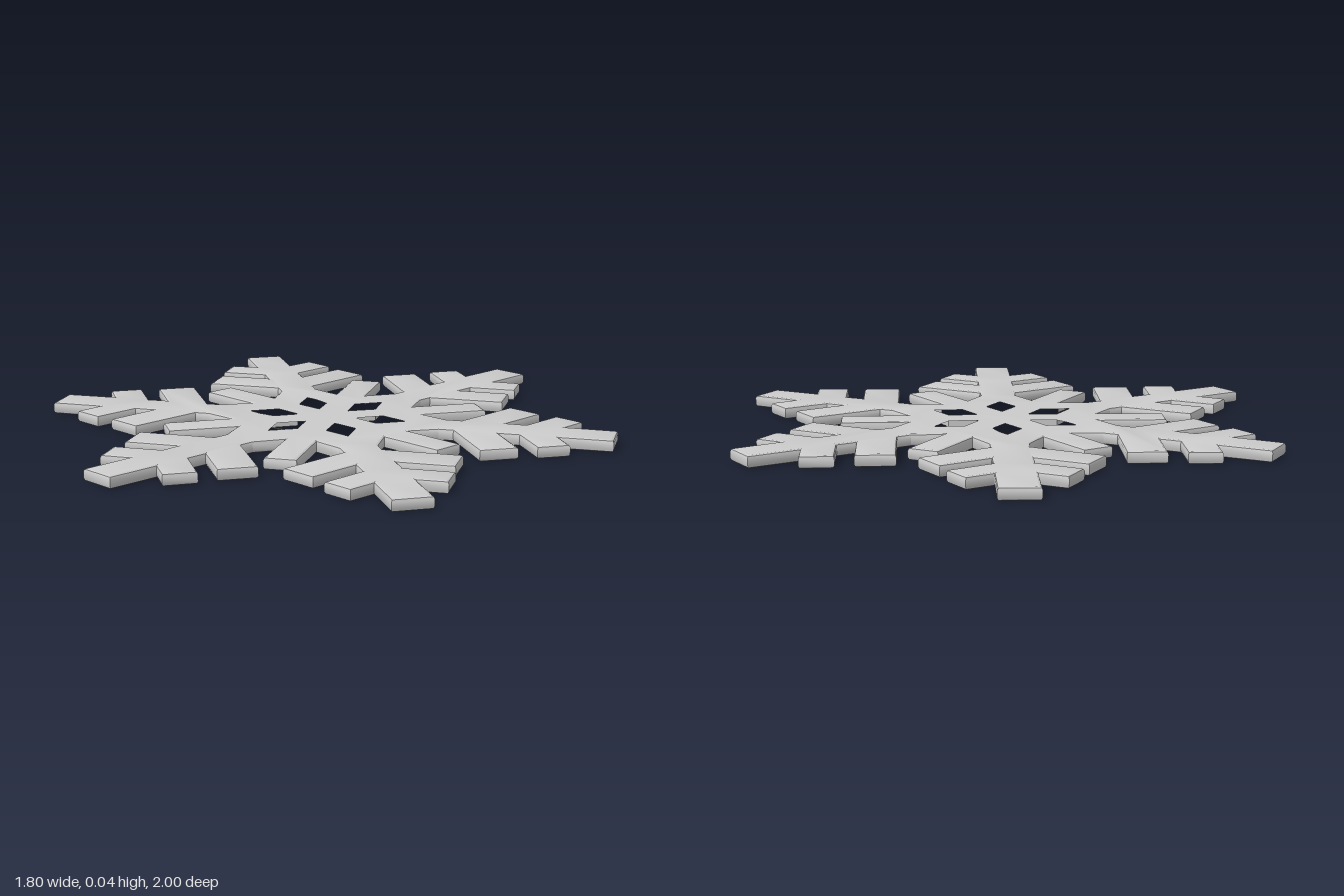
import * as THREE from 'three';
import { toCreasedNormals } from 'three/addons/utils/BufferGeometryUtils.js';

const HEIGHT = 0.042;
const BEVEL = 0.01;

// Turn a point [sideways, outward] clockwise onto arm number k of six
function turn([x, d], k) {
  return new THREE.Vector2(x, d).rotateAround(new THREE.Vector2(), -k * Math.PI / 3);
}

// Right half of one arm, from its tip to the corner of the neighbouring spoke
const HALF_ARM = [
  [0.067, 1.0], [0.067, 0.818],
  [0.155, 0.868], [0.211, 0.769], [0.067, 0.686],   // short outer branch
  [0.067, 0.615],
  [0.231, 0.71], [0.297, 0.594], [0.067, 0.461],    // long inner branch
  [0.067, 0.41], [0.117, 0.312],                    // valley beside the spoke
  [0.234, 0.517],                                   // spoke tip
];
const DIAMOND = [[0, 0.278], [0.052, 0.19], [0, 0.104], [-0.052, 0.19]];

export function createModel() {
  const group = new THREE.Group();
  const outline = [];
  const holes = [];
  const mirrored = HALF_ARM.map(([x, d]) => [-x, d]).reverse();
  for (let k = 0; k < 6; k++) {
    for (const p of [...mirrored, ...HALF_ARM]) outline.push(turn(p, k));
    holes.push(DIAMOND.map((p) => turn(p, k)));
  }

  const shape = new THREE.Shape(outline);
  shape.holes = holes.map((h) => new THREE.Path(h));
  const geometry = new THREE.ExtrudeGeometry(shape, {
    depth: HEIGHT - 2 * BEVEL,
    bevelEnabled: true,
    bevelThickness: BEVEL,
    bevelSize: BEVEL,
    bevelOffset: -BEVEL,
    bevelSegments: 2,
  });

  // Only the outer rim is bevelled: straighten the walls of the diamond holes
  const corners = holes.flat();
  const pos = geometry.attributes.position;
  const v = new THREE.Vector2();
  for (let i = 0; i < pos.count; i++) {
    v.fromBufferAttribute(pos, i);
    if (v.length() > 0.305) continue;
    const near = corners.reduce((a, b) => (v.distanceTo(b) < v.distanceTo(a) ? b : a));
    pos.setXY(i, near.x, near.y);
  }

  // Lay the plate flat on the ground
  geometry.translate(0, 0, BEVEL);
  geometry.rotateX(-Math.PI / 2);

  const plate = new THREE.Mesh(
    toCreasedNormals(geometry, 0.45),
    new THREE.MeshStandardMaterial({ color: 0xcccccc })
  );
  plate.name = 'snowflakePlate';
  group.add(plate);
  group.name = 'snowflake';
  return group;
}
